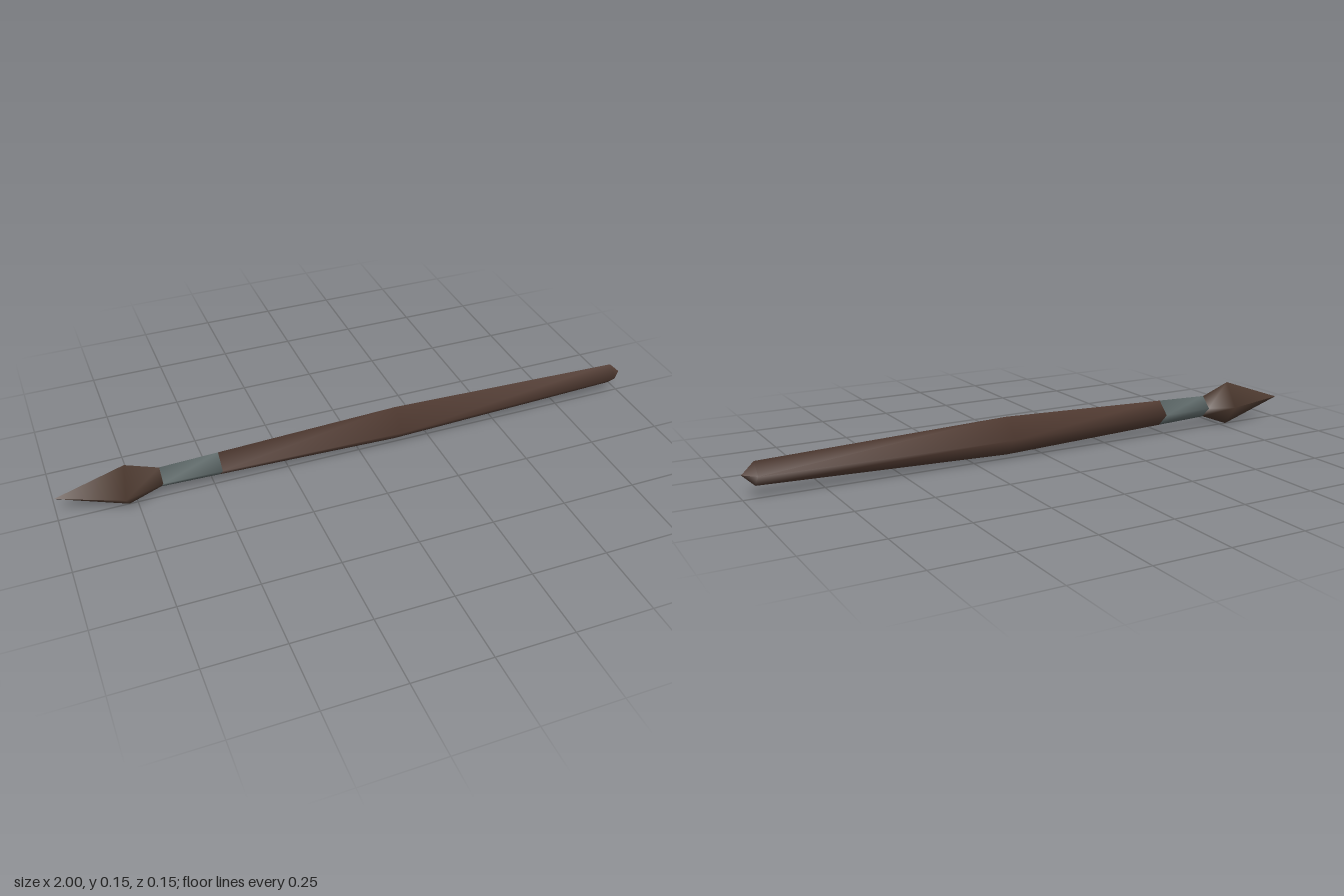
import * as THREE from 'three';

const SIDES = 4;
const AXIS_Y = 0.077;

// Smooth four-sided loft along x; each ring is [x, radius, z offset, lean of x with z]
function loft(rings) {
  const positions = [], index = [];
  for (const [x, r, dz = 0, lean = 0] of rings) {
    for (let j = 0; j < SIDES; j++) {
      const a = (j / SIDES) * Math.PI * 2;
      const z = Math.sin(a) * r;
      positions.push(x + lean * z, AXIS_Y + Math.cos(a) * r, z + dz);
    }
  }
  for (let i = 0; i < rings.length - 1; i++) {
    for (let j = 0; j < SIDES; j++) {
      const k = (j + 1) % SIDES;
      const a = i * SIDES + j, b = i * SIDES + k;
      const c = a + SIDES, d = b + SIDES;
      if (rings[i][1] > 0) index.push(a, b, c);
      if (rings[i + 1][1] > 0) index.push(b, d, c);
    }
  }
  const g = new THREE.BufferGeometry();
  g.setAttribute('position', new THREE.Float32BufferAttribute(positions, 3));
  g.setIndex(index);
  g.computeVertexNormals();
  return g;
}

export function createModel() {
  const wood = new THREE.MeshStandardMaterial({ color: 0x503a31 });
  wood.name = 'dark wood';
  const metal = new THREE.MeshStandardMaterial({ color: 0x5d6868 });
  metal.name = 'grey metal';
  const hair = new THREE.MeshStandardMaterial({ color: 0x4c392f });
  hair.name = 'brown hair';

  const model = new THREE.Group();
  model.name = 'paintbrush';
  const add = (name, material, rings) => {
    const mesh = new THREE.Mesh(loft(rings), material);
    mesh.name = name;
    model.add(mesh);
  };

  // Pointed tuft, its widest ring leaning slightly
  add('bristles', hair, [
    [-1, 0, -0.012],
    [-0.777, 0.077, 0, -0.25],
    [-0.67, 0.037],
  ]);
  // Metal collar
  add('ferrule', metal, [
    [-0.67, 0.038],
    [-0.48, 0.044],
  ]);
  // Swelling handle with a pointed end
  add('handle', wood, [
    [-0.48, 0.044],
    [0.13, 0.064],
    [0.96, 0.038],
    [1, 0],
  ]);
  return model;
}
